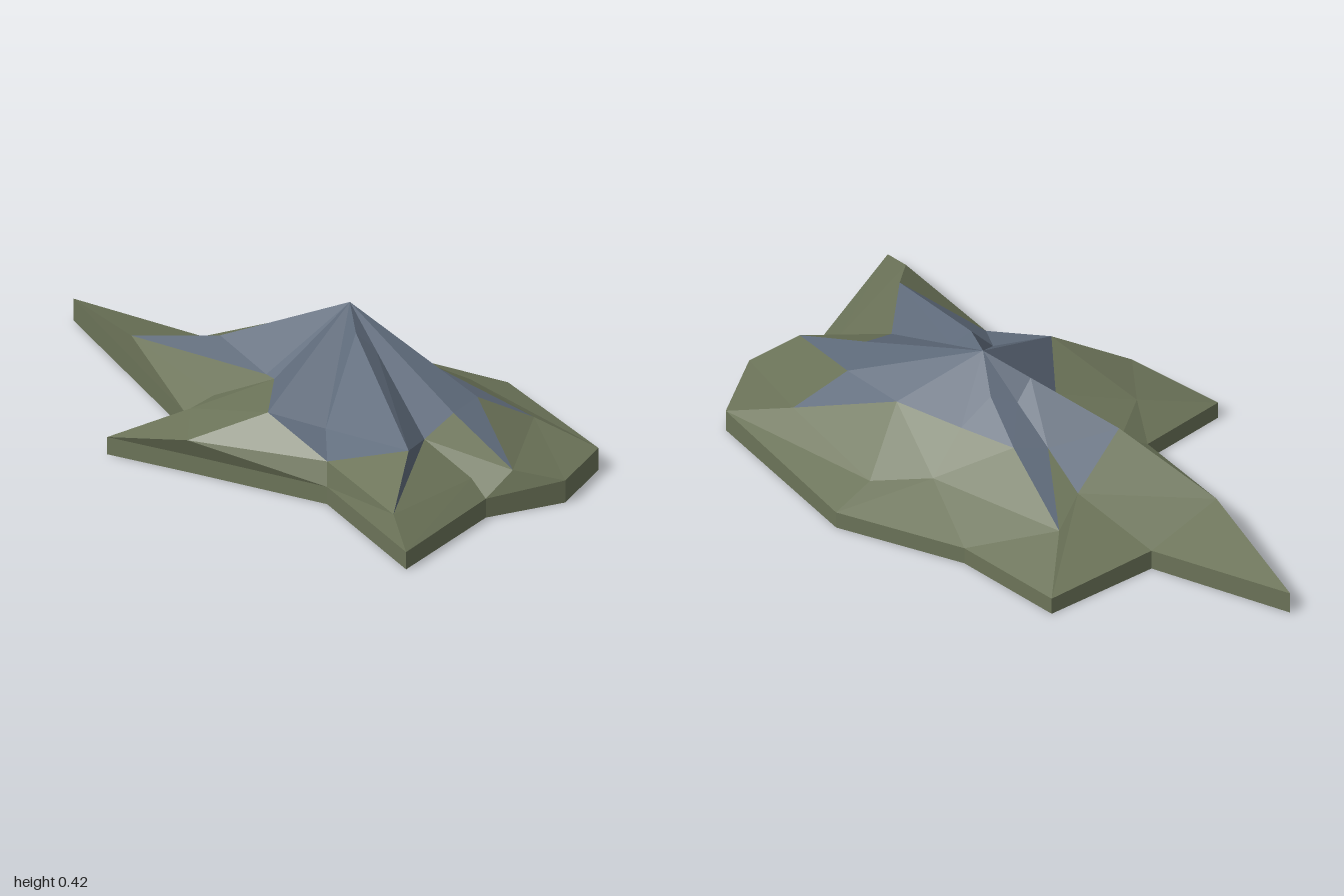
import * as THREE from 'three';

// Spokes run from the rim to the summit, in order around the island.
// Each holds rim, slope and shoulder points; "faces" paints the two facets
// between slope and shoulder up to the next spoke (g = grass, r = rock).
// "flip" and "flipRim" turn the diagonal of the upper and lower facet pairs.
// "crest" bends a ridge or valley on its way to the summit.
const SPOKES = [
  { rim: [-0.10, 0.07, -1.00], slope: [-0.20, 0.13, -0.58], shoulder: [-0.13, 0.235, -0.24], faces: 'gr' },
  { rim: [0.05, 0.065, -0.57], slope: [0.09, 0.145, -0.30], shoulder: [0.05, 0.195, -0.13], faces: 'gr', crest: [0.05, 0.29, 0.0] },
  { rim: [0.41, 0.055, -0.53], slope: [0.23, 0.12, -0.37], shoulder: [0.14, 0.215, -0.08], faces: 'gg', crest: [0.11, 0.315, 0.05] },
  { rim: [0.43, 0.055, -0.18], slope: [0.33, 0.125, 0.06], shoulder: [0.19, 0.22, 0.09], faces: 'gg', flip: true },
  { rim: [0.585, 0.055, 0.20], slope: [0.45, 0.10, 0.20], shoulder: [0.25, 0.23, 0.30], faces: 'gr' },
  { rim: [0.50, 0.07, 0.76], slope: [0.40, 0.13, 0.58], shoulder: [0.24, 0.215, 0.52], faces: 'gr' },
  { rim: [0.285, 0.07, 0.89], slope: [0.14, 0.12, 0.83], shoulder: [0.11, 0.22, 0.58], faces: 'gg', flip: true },
  { rim: [0.035, 0.06, 0.84], slope: [0.035, 0.10, 0.77], shoulder: [-0.01, 0.175, 0.60], faces: 'gr' },
  { rim: [-0.37, 0.055, 1.00], slope: [-0.32, 0.115, 0.87], shoulder: [-0.155, 0.22, 0.72], faces: 'gr', crest: [0.0, 0.385, 0.25] },
  { rim: [-0.28, 0.055, 0.49], slope: [-0.265, 0.125, 0.47], shoulder: [-0.19, 0.17, 0.36], faces: 'rg', flip: true, flipRim: true },
  { rim: [-0.46, 0.055, 0.09], slope: [-0.49, 0.115, 0.09], shoulder: [-0.31, 0.21, 0.24], faces: 'gg' },
  { rim: [-0.585, 0.055, -0.175], slope: [-0.36, 0.125, -0.07], shoulder: [-0.14, 0.20, 0.04], faces: 'gg' },
  { rim: [-0.30, 0.055, -0.18], slope: [-0.22, 0.10, -0.15], shoulder: [-0.14, 0.20, 0.0], faces: 'gr', flipRim: true },
];
const SUMMIT = [0.07, 0.42, 0.125];

// Two triangles between a pair of outer points and a pair of inner points
function quad(outer, inner, outerNext, innerNext, flip) {
  return flip
    ? [[outer, inner, innerNext], [outer, innerNext, outerNext]]
    : [[outer, inner, outerNext], [inner, innerNext, outerNext]];
}

// Unshared corners keep every facet flat
function facetMesh(name, triangles, material) {
  const geometry = new THREE.BufferGeometry();
  geometry.setAttribute('position', new THREE.Float32BufferAttribute(triangles.flat(2), 3));
  geometry.computeVertexNormals();
  const mesh = new THREE.Mesh(geometry, material);
  mesh.name = name;
  return mesh;
}

export function createModel() {
  const grass = new THREE.MeshStandardMaterial({ color: 0x6c7459 });
  grass.name = 'mossy green';
  const rock = new THREE.MeshStandardMaterial({ color: 0x606c7c });
  rock.name = 'slate blue';

  const base = [], slopes = [], peak = [];
  const floor = ([x, , z]) => [x, 0, z];
  const crestOf = ({ crest, shoulder }) =>
    crest ?? shoulder.map((v, k) => THREE.MathUtils.lerp(v, SUMMIT[k], 0.65));

  SPOKES.forEach((a, i) => {
    const b = SPOKES[(i + 1) % SPOKES.length];
    // Vertical shore wall
    base.push(...quad(floor(a.rim), a.rim, floor(b.rim), b.rim));
    // Lower slopes
    slopes.push(...quad(a.rim, a.slope, b.rim, b.slope, a.flipRim));
    // Mixed grass and rock band
    quad(a.slope, a.shoulder, b.slope, b.shoulder, a.flip).forEach((triangle, k) => {
      (a.faces[k] === 'r' ? peak : slopes).push(triangle);
    });
    // Rocky top
    peak.push(...quad(a.shoulder, crestOf(a), b.shoulder, crestOf(b)));
    peak.push([crestOf(a), SUMMIT, crestOf(b)]);
  });

  // Flat underside, turned to face down
  const outline = SPOKES.map(({ rim }) => new THREE.Vector2(rim[0], rim[2]));
  for (const corners of THREE.ShapeUtils.triangulateShape(outline, [])) {
    const [p, q, r] = corners.map((k) => outline[k]);
    const area = (q.x - p.x) * (r.y - p.y) - (q.y - p.y) * (r.x - p.x);
    const order = area > 0 ? [p, q, r] : [p, r, q];
    base.push(order.map((v) => [v.x, 0, v.y]));
  }

  const group = new THREE.Group();
  group.name = 'mountain';
  group.add(
    facetMesh('base', base, grass),
    facetMesh('grassSlopes', slopes, grass),
    facetMesh('rockyPeak', peak, rock),
  );
  return group;
}
